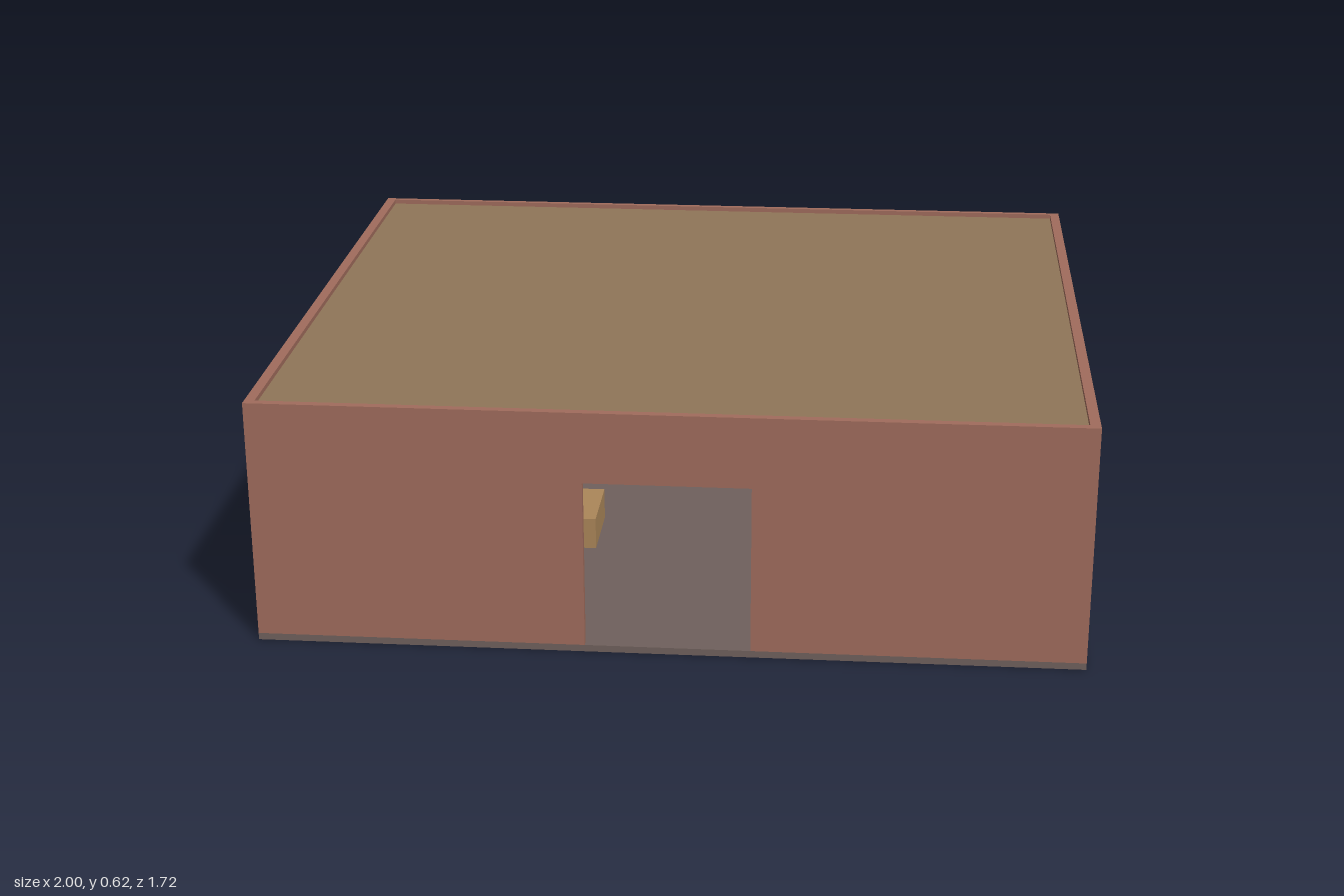
import * as THREE from 'three';

const mat = (color) => new THREE.MeshStandardMaterial({ color });
const brick = mat(0xa06c5c), timber = mat(0x8f7558), stone = mat(0x6f605c);
const iron = mat(0x575757), wood = mat(0xab8659), steel = mat(0xbcaa98), ember = mat(0xe09a50);

export function createModel() {
  const model = new THREE.Group();

  const add = (name, geometry, material, x, y, z, parent = model) => {
    const mesh = new THREE.Mesh(geometry, material);
    mesh.name = name;
    mesh.position.set(x, y, z);
    parent.add(mesh);
    return mesh;
  };
  // box given by its lower and upper corners
  const box = (name, material, [x0, y0, z0], [x1, y1, z1], parent) =>
    add(name, new THREE.BoxGeometry(x1 - x0, y1 - y0, z1 - z0), material,
      (x0 + x1) / 2, (y0 + y1) / 2, (z0 + z1) / 2, parent);
  const group = (name) => {
    const g = new THREE.Group();
    g.name = name;
    model.add(g);
    return g;
  };

  // shell: floor slab, back and side walls, recessed roof
  const floorY = 0.017, top = 0.617;
  box('floor', stone, [-1, 0, -0.845], [1, floorY, 0.86]);
  box('backWall', brick, [-1, 0, -0.86], [1, top, -0.845]);
  for (const s of [-1, 1]) {
    const wall = box('sideWall', brick, [-0.0125, floorY, -0.845], [0.0125, top, 0.86]);
    wall.position.x = s * 0.9875;
  }
  box('roof', timber, [-0.975, 0.59, -0.845], [0.975, 0.605, 0.84]);

  // front wall with the doorway cut out
  const front = new THREE.Shape([
    [-0.975, floorY], [-0.2, floorY], [-0.2, 0.44], [0.2, 0.44],
    [0.2, floorY], [0.975, floorY], [0.975, top], [-0.975, top],
  ].map(([x, y]) => new THREE.Vector2(x, y)));
  add('frontWall', new THREE.ExtrudeGeometry(front, { depth: 0.02, bevelEnabled: false }),
    brick, 0, 0, 0.84);

  // forge with glowing mouth and hanging hood
  const forge = group('forge');
  box('hearth', iron, [-0.34, floorY, -0.8], [-0.06, 0.18, -0.55], forge);
  box('embers', ember, [-0.28, 0.08, -0.55], [-0.12, 0.16, -0.545], forge);
  box('hood', iron, [-0.26, 0.21, -0.8], [-0.14, 0.43, -0.6], forge);
  box('flueBeam', wood, [-0.18, 0.43, -0.75], [-0.16, 0.59, -0.7], forge);
  add('coal', new THREE.SphereGeometry(0.014, 12, 8), iron, -0.145, 0.03, -0.5, forge);

  // anvil on a wooden block
  const anvil = group('anvil');
  box('block', wood, [0.07, floorY, -0.24], [0.145, 0.11, -0.16], anvil);
  box('body', steel, [0.08, 0.11, -0.23], [0.135, 0.18, -0.17], anvil);
  box('face', steel, [0.073, 0.18, -0.25], [0.142, 0.193, -0.15], anvil);

  // low plank and ingot near the back wall
  box('plank', wood, [-0.07, floorY, -0.8], [0.3, 0.035, -0.62]);
  box('ingot', iron, [-0.01, floorY, -0.6], [0.055, 0.036, -0.54]);

  // storage beside the doorway
  box('crate', wood, [-0.44, floorY, 0.1], [-0.24, 0.1, 0.3]);
  box('wallShelf', wood, [-0.97, 0.09, 0.05], [-0.86, 0.11, 0.4]);
  return model;
}
